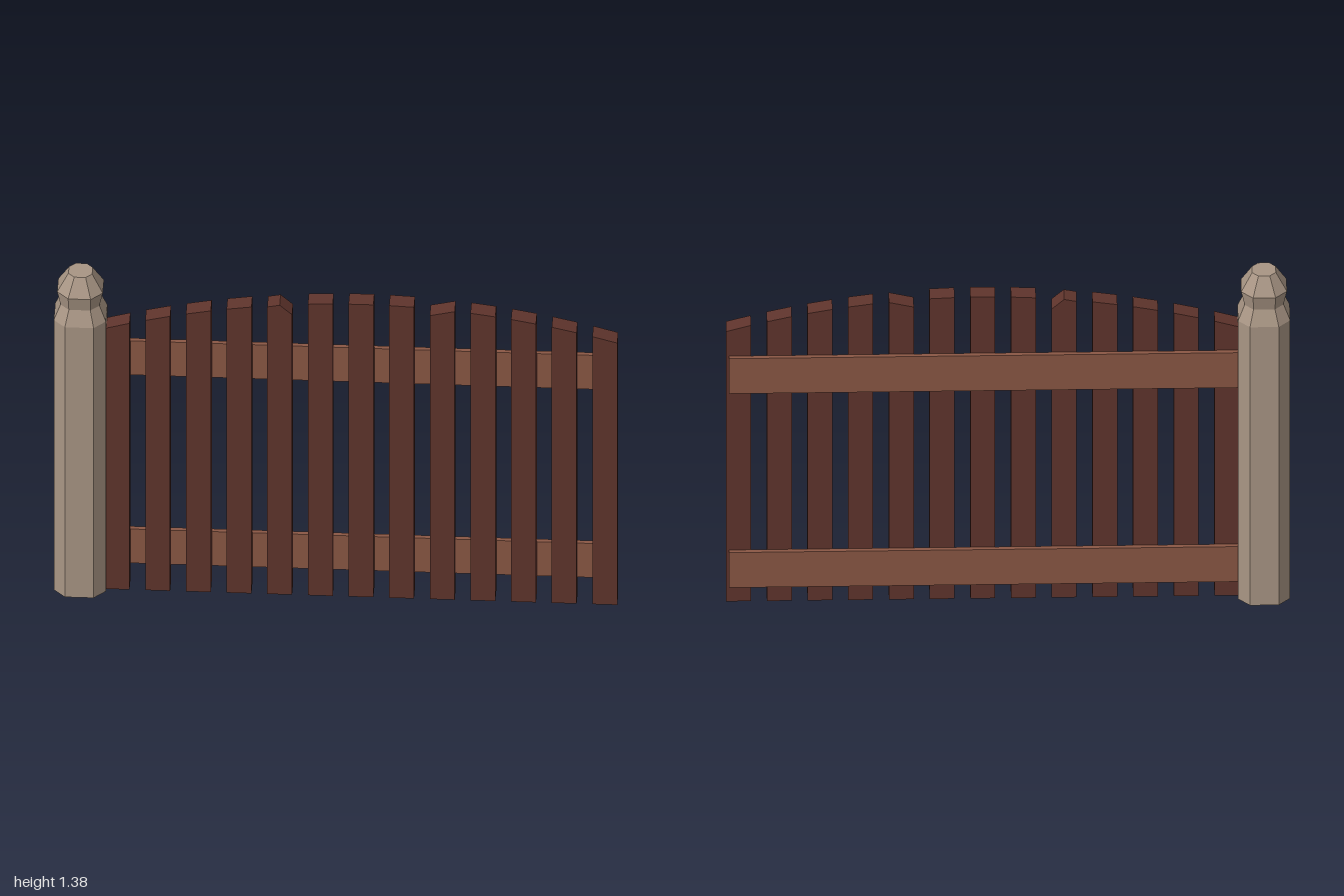
import * as THREE from 'three';

export function createModel() {
  const fence = new THREE.Group();
  fence.name = 'fence';

  const postMat = new THREE.MeshStandardMaterial({ name: 'weatheredPost', color: 0xa89584, flatShading: true });
  const picketMat = new THREE.MeshStandardMaterial({ name: 'darkRedWood', color: 0x5f342c, flatShading: true });
  const railMat = new THREE.MeshStandardMaterial({ name: 'brownWood', color: 0x8a5744, flatShading: true });

  const add = (name, geometry, material, x = 0, y = 0, z = 0) => {
    const mesh = new THREE.Mesh(geometry, material);
    mesh.name = name;
    mesh.position.set(x, y, z);
    fence.add(mesh);
  };

  // Post: chamfered-square rings stacked from the foot to the cap
  const rings = [[0.0925, 0.051, 0], [0.0925, 0.051, 1.19], [0.069, 0.038, 1.25], [0.081, 0.04, 1.307], [0.042, 0.02, 1.375]];
  const positions = [];
  const index = [];
  for (const [r, f, y] of rings) {
    const outline = [[r, f], [f, r], [-f, r], [-r, f], [-r, -f], [-f, -r], [f, -r], [r, -f]];
    for (const [x, z] of outline) positions.push(x, y, z);
  }
  for (let k = 0; k < rings.length - 1; k++) {
    for (let i = 0; i < 8; i++) {
      const a = k * 8 + i, b = k * 8 + (i + 1) % 8;
      index.push(a, a + 8, b, b, a + 8, b + 8);
    }
  }
  const top = (rings.length - 1) * 8;
  for (let i = 1; i < 7; i++) {
    index.push(0, i, i + 1);
    index.push(top, top + i + 1, top + i);
  }
  const postGeo = new THREE.BufferGeometry();
  postGeo.setAttribute('position', new THREE.Float32BufferAttribute(positions, 3));
  postGeo.setIndex(index);
  const flatPost = postGeo.toNonIndexed();
  flatPost.computeVertexNormals();
  add('post', flatPost, postMat, -0.9075);

  // Pickets: tops follow a shallow arch, two of them are damaged
  const arch = (x) => 1.29 - 0.167 * (x - 0.1) ** 2;
  const half = 0.0442;
  for (let i = 0; i < 13; i++) {
    const x = -0.776 + i * 0.1443;
    let tops = [[half, arch(x + half)], [-half, arch(x - half)]];
    if (i === 4) tops = [[half, 1.235], [0, 1.275], [-half, 1.266]]; // chipped corner
    if (i === 8) tops = [[half, 1.271], [-half, 1.25]]; // cut the wrong way
    const outline = [[-half, 0], [half, 0], ...tops].map(([px, py]) => new THREE.Vector2(px, py));
    const geo = new THREE.ExtrudeGeometry(new THREE.Shape(outline), { depth: 0.064, bevelEnabled: false });
    add('picket' + (i + 1), geo, picketMat, x, 0, -0.028);
  }

  // Two rails across the back
  for (const [name, y] of [['lowerRail', 0.145], ['upperRail', 0.975]]) {
    add(name, new THREE.BoxGeometry(1.82, 0.15, 0.017), railMat, 0.08, y, -0.0365);
  }

  return fence;
}
